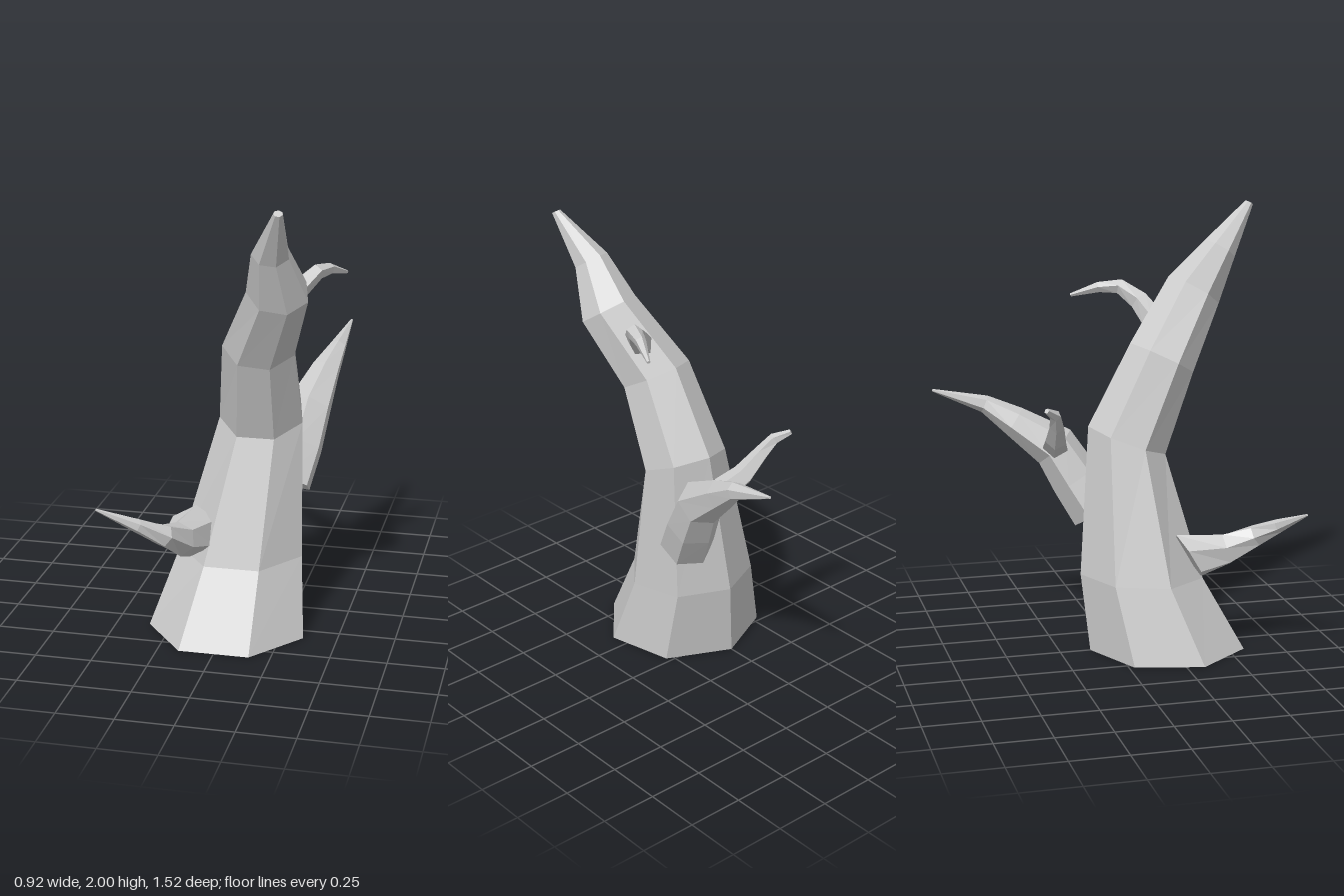
import * as THREE from 'three';

const UP = new THREE.Vector3(0, 1, 0);
const bark = new THREE.MeshStandardMaterial({ color: 0xcccccc, flatShading: true });

// Skins a closed limb over rings of { centre, radius, turn }
function skin(name, rings, sides) {
  const pos = [], index = [];
  for (const { centre, radius, turn } of rings) {
    for (let i = 0; i < sides; i++) {
      const a = (i / sides) * Math.PI * 2;
      const p = new THREE.Vector3(Math.sin(a), 0, -Math.cos(a)).multiplyScalar(radius);
      pos.push(...p.applyQuaternion(turn).add(centre).toArray());
    }
  }
  const last = (rings.length - 1) * sides;
  const bottom = rings.length * sides, top = bottom + 1;
  pos.push(...rings[0].centre.toArray(), ...rings[rings.length - 1].centre.toArray());
  for (let i = 0; i < sides; i++) {
    const j = (i + 1) % sides;
    for (let k = 0; k < last; k += sides) {
      const a = k + i, b = k + j;
      index.push(a, a + sides, b, b, a + sides, b + sides);
    }
    index.push(bottom, i, j, top, last + j, last + i);
  }
  const geo = new THREE.BufferGeometry();
  geo.setAttribute('position', new THREE.Float32BufferAttribute(pos, 3));
  geo.setIndex(index);
  const flat = geo.toNonIndexed();
  flat.computeVertexNormals();
  const mesh = new THREE.Mesh(flat, bark);
  mesh.name = name;
  return mesh;
}

// Branch rings follow the path; rootDir optionally sets the facing of the first one
function branch(name, path, sides, rootDir) {
  const pts = path.map(([x, y, z]) => new THREE.Vector3(x, y, z));
  const rings = pts.map((centre, i) => {
    const before = pts[Math.max(i - 1, 0)], after = pts[Math.min(i + 1, pts.length - 1)];
    const dir = i === 0 && rootDir ? new THREE.Vector3(...rootDir) : after.clone().sub(before);
    const turn = new THREE.Quaternion().setFromUnitVectors(UP, dir.normalize());
    return { centre, radius: path[i][3], turn };
  });
  return skin(name, rings, sides);
}

export function createModel() {
  const tree = new THREE.Group();
  tree.name = 'deadTree';

  // Trunk: x, y, z, radius, pitch, roll
  const trunk = [
    [0, 0, 0.25, 0.36, 0, 0],
    [0.04, 0.34, 0.14, 0.285, 0.04, 0],
    [0.115, 0.952, 0.089, 0.191, 0.365, 0],
    [0.135, 1.316, 0.255, 0.161, 0.47, -0.1],
    [0.25, 1.6, 0.436, 0.134, 0.54, -0.15],
    [0.243, 1.79, 0.56, 0.08, 0.55, -0.12],
    [0.305, 1.99, 0.72, 0.02, 0.5, -0.1],
  ].map(([x, y, z, radius, pitch, roll]) => ({
    centre: new THREE.Vector3(x, y, z),
    radius,
    turn: new THREE.Quaternion().setFromEuler(new THREE.Euler(pitch, 0, roll)),
  }));
  tree.add(skin('trunk', trunk, 7));

  // Low branch reaching forward and sideways
  tree.add(branch('frontBranch', [
    [-0.15, 0.46, 0.31, 0.115],
    [-0.17, 0.485, 0.48, 0.075],
    [-0.205, 0.55, 0.61, 0.05],
    [-0.3, 0.615, 0.685, 0.03],
    [-0.46, 0.7, 0.755, 0.005],
  ], 6, [0, 0.5, 0.85]));

  // Large branch rising to the rear
  tree.add(branch('backBranch', [
    [0.2, 0.6, -0.03, 0.12],
    [0.24, 0.75, -0.12, 0.115],
    [0.27, 0.9, -0.21, 0.105],
    [0.31, 1.02, -0.39, 0.07],
    [0.345, 1.1, -0.52, 0.04],
    [0.37, 1.17, -0.755, 0.006],
  ], 6));

  // Twig on the rear branch
  tree.add(branch('backTwig', [
    [0.16, 0.93, -0.23, 0.06],
    [0.06, 0.98, -0.25, 0.05],
    [-0.03, 1.06, -0.265, 0.035],
    [-0.09, 1.12, -0.285, 0.026],
    [-0.14, 1.155, -0.335, 0.012],
  ], 5));

  // Hooked twig high on the trunk
  tree.add(branch('upperTwig', [
    [0.22, 1.48, 0.24, 0.055],
    [0.29, 1.555, 0.195, 0.046],
    [0.355, 1.615, 0.12, 0.035],
    [0.395, 1.61, 0.03, 0.025],
    [0.45, 1.57, -0.09, 0.008],
  ], 5));

  return tree;
}
